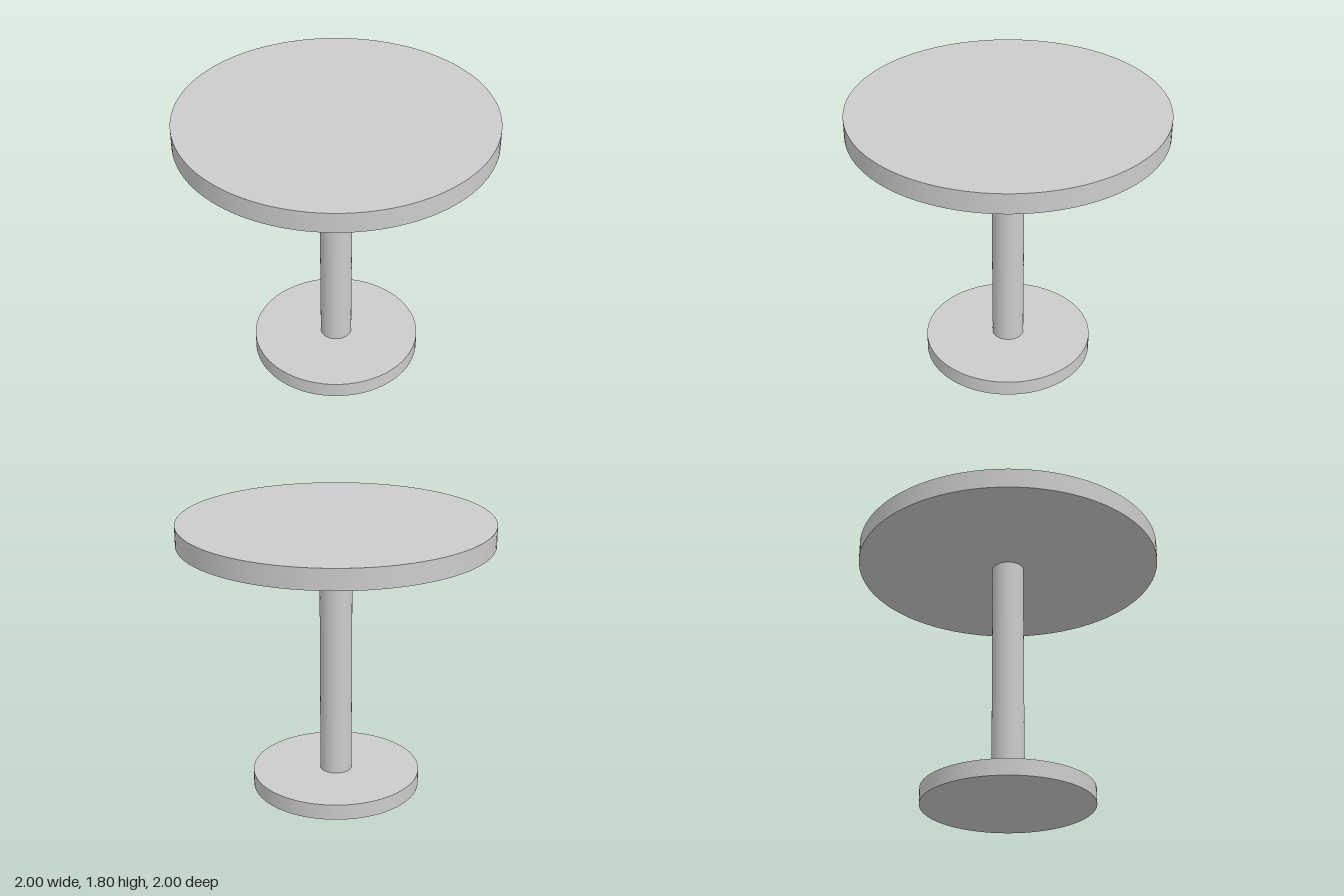
import * as THREE from 'three';

const material = new THREE.MeshStandardMaterial({ color: 0xcccccc });

// Upright round part between two heights
function disc(name, radius, bottom, top, segments) {
  const geometry = new THREE.CylinderGeometry(radius, radius, top - bottom, segments);
  const mesh = new THREE.Mesh(geometry, material);
  mesh.name = name;
  mesh.position.y = (bottom + top) / 2;
  return mesh;
}

export function createModel() {
  const table = new THREE.Group();
  table.name = 'pedestalTable';
  table.add(
    disc('base', 0.55, 0, 0.104, 96),
    disc('column', 0.104, 0.104, 1.674, 48),
    disc('tableTop', 1, 1.674, 1.805, 128),
  );
  return table;
}
